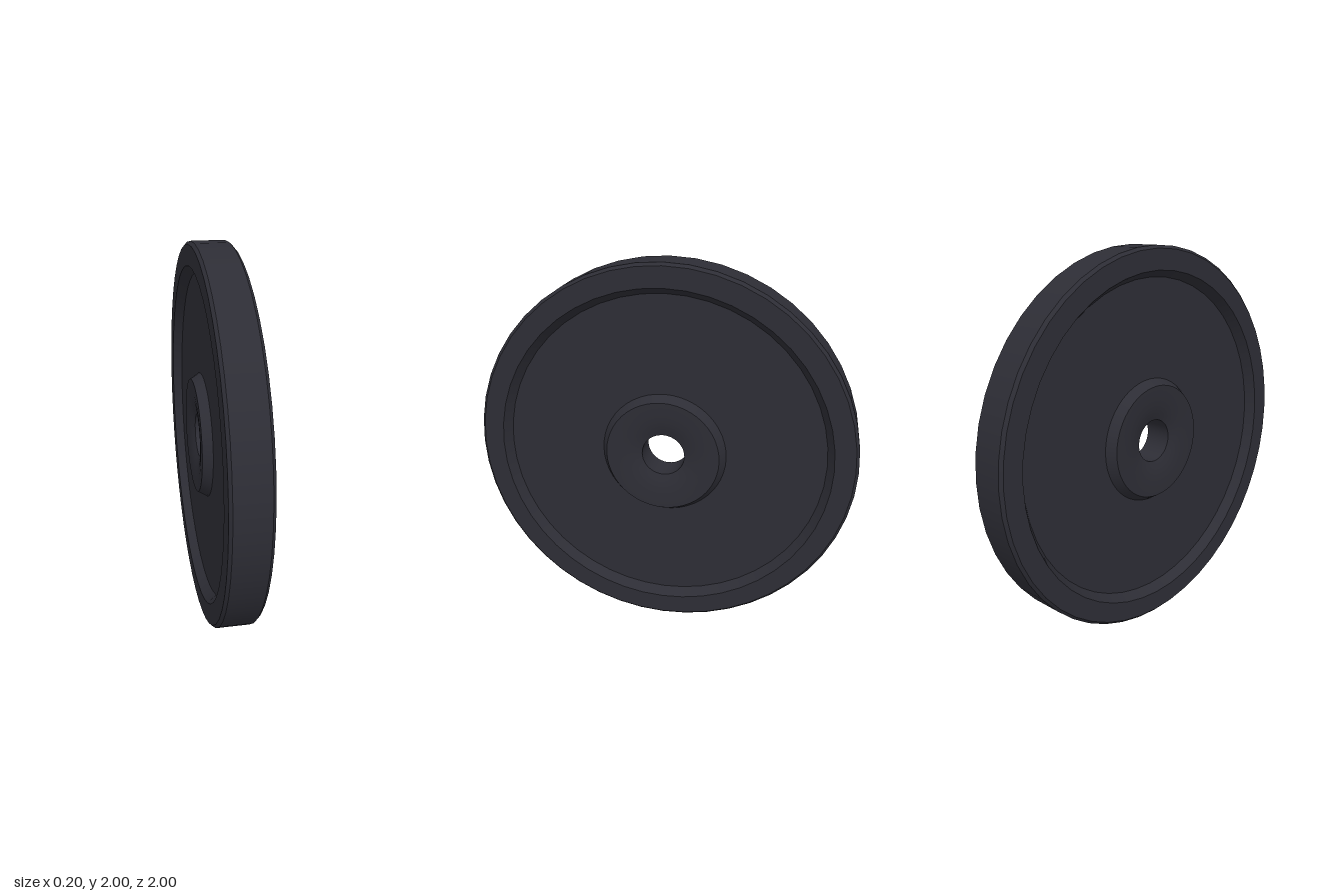
import * as THREE from 'three';
import { mergeGeometries } from 'three/addons/utils/BufferGeometryUtils.js';

const SEGMENTS = 48;

// Each strip is a smooth run of [radius, height]; breaks between strips stay sharp.
function turned(strips) {
  return mergeGeometries(strips.map((strip) =>
    new THREE.LatheGeometry(strip.map(([r, h]) => new THREE.Vector2(r, h)), SEGMENTS)));
}

export function createModel() {
  const model = new THREE.Group();
  model.name = 'weightPlate';
  const iron = new THREE.MeshStandardMaterial({ color: 0x2d2d35 });
  iron.name = 'dark iron';

  const parts = {
    // outer tread, chamfer, flat lip and sloped inner wall
    rim: turned([
      [[1, 0], [1, 0.085]],
      [[1, 0.085], [0.985, 0.1]],
      [[0.985, 0.1], [0.88, 0.1]],
      [[0.88, 0.1], [0.845, 0.05]],
    ]),
    // recessed disc between rim and hub
    web: turned([[[0.845, 0.05], [0.33, 0.05]]]),
    // sloped boss, gently dished face and centre bore
    hub: turned([
      [[0.33, 0.05], [0.3, 0.1]],
      [[0.3, 0.1], [0.24, 0.099], [0.19, 0.094], [0.15, 0.086], [0.113, 0.074]],
      [[0.113, 0.074], [0.113, 0]],
    ]),
  };

  // The plate is the same on both faces
  for (const [sideName, side] of [['left', 1], ['right', -1]]) {
    const half = new THREE.Group();
    half.name = sideName + 'Half';
    half.rotation.z = -side * Math.PI / 2;
    half.position.y = 1;
    for (const [name, geometry] of Object.entries(parts)) {
      const mesh = new THREE.Mesh(geometry, iron);
      mesh.name = name;
      half.add(mesh);
    }
    model.add(half);
  }
  return model;
}
